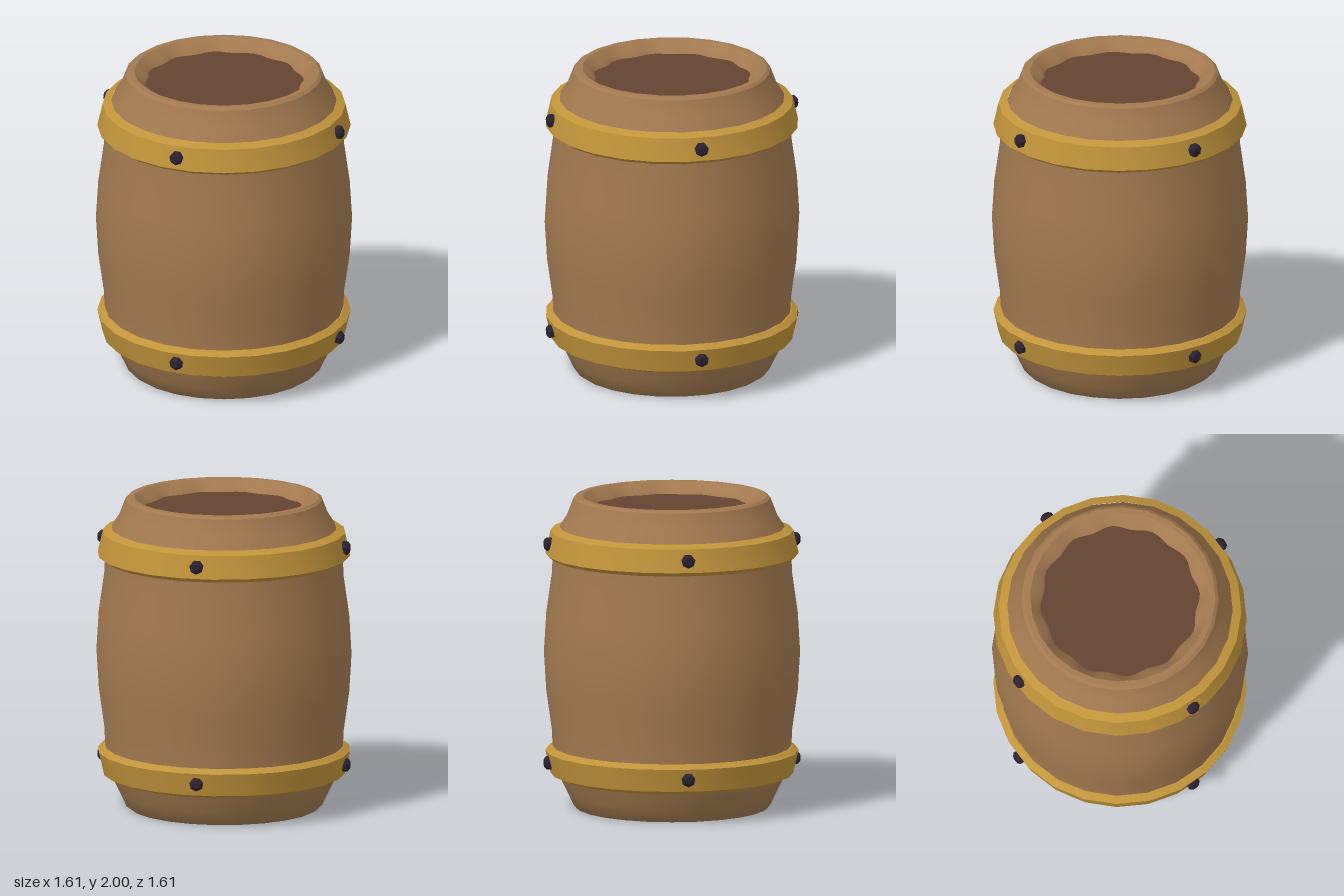
import * as THREE from 'three';
import { toCreasedNormals } from 'three/addons/utils/BufferGeometryUtils.js';

const SIDES = 24;

function material(name, color) {
  const m = new THREE.MeshStandardMaterial({ color });
  m.name = name;
  return m;
}

// Turned part: smooth around, sharp where the profile bends strongly
function turned(profile, crease = 0.55) {
  const points = profile.map(([r, y]) => new THREE.Vector2(r, y));
  const geometry = new THREE.LatheGeometry(points, SIDES, Math.PI / SIDES);
  return toCreasedNormals(geometry, crease);
}

export function createModel() {
  const model = new THREE.Group();
  model.name = 'barrel';
  const wood = material('wood', 0xa27a50);
  const darkWood = material('dark wood', 0x634531);
  const brass = material('brass', 0xc0943a);
  const iron = material('iron', 0x2b2230);

  function add(name, geometry, mat, parent = model) {
    const mesh = new THREE.Mesh(geometry, mat);
    mesh.name = name;
    parent.add(mesh);
    return mesh;
  }

  // Bulging wooden body with its rims
  const body = [
    [0.57, 0.012], [0.605, 0], [0.625, 0.015], [0.665, 0.1], [0.71, 0.19], [0.75, 0.3],
    [0.757, 0.4], [0.762, 0.5], [0.797, 0.75], [0.812, 1], [0.797, 1.25], [0.762, 1.5],
    [0.757, 1.6], [0.75, 1.7], [0.71, 1.81], [0.665, 1.88], [0.625, 1.985], [0.605, 2], [0.57, 2],
  ];
  add('body', turned(body), wood);

  // Worn inner lip: its lower edge waves in and out
  const wave = (a) => 0.496 - 0.012 * Math.cos(12 * a);
  const lip = new THREE.LatheGeometry(
    [[0.57, 2], [0.52, 1.955], [0.5, 1.925]].map(([r, y]) => new THREE.Vector2(r, y)), 72);
  const pos = lip.attributes.position;
  for (let i = 0; i < pos.count; i++) {
    const y = pos.getY(i);
    if (y > 1.98) continue;
    const a = Math.atan2(pos.getZ(i), pos.getX(i));
    const r = wave(a) + (y > 1.94 ? 0.022 : 0);
    pos.setX(i, r * Math.cos(a));
    pos.setZ(i, r * Math.sin(a));
  }
  lip.computeVertexNormals();
  add('innerLip', lip, wood);

  // Sunken lid and the bottom board
  const lid = add('lid', new THREE.CircleGeometry(0.52, 48), darkWood);
  lid.rotation.x = -Math.PI / 2;
  lid.position.y = 1.926;
  const bottom = add('bottom', new THREE.CircleGeometry(0.585, SIDES), darkWood);
  bottom.rotation.x = Math.PI / 2;
  bottom.position.y = 0.006;

  // Hoops are mirrored about the middle of the barrel, each with four rivets
  const hoop = [[0.735, 1.6], [0.765, 1.605], [0.803, 1.632], [0.77, 1.778], [0.715, 1.802]];
  const mirrored = hoop.map(([r, y]) => [r, 2 - y]).reverse();
  const rivet = toCreasedNormals(new THREE.LatheGeometry(
    [[0.044, -0.03], [0.044, 0.012], [0.026, 0.028], [0, 0.028]]
      .map(([r, y]) => new THREE.Vector2(r, y)), 7), 0.2);
  rivet.rotateX(Math.PI / 2);

  for (const [name, profile, y] of [['upper', hoop, 1.705], ['lower', mirrored, 0.3]]) {
    const group = new THREE.Group();
    group.name = name + 'Hoop';
    model.add(group);
    add('band', turned(profile, 0.35), brass, group);
    for (let i = 0; i < 4; i++) {
      const a = Math.PI / 4 + (i * Math.PI) / 2;
      const head = add('rivet', rivet, iron, group);
      head.position.set(0.79 * Math.sin(a), y, 0.79 * Math.cos(a));
      head.rotation.y = a;
    }
  }
  return model;
}
